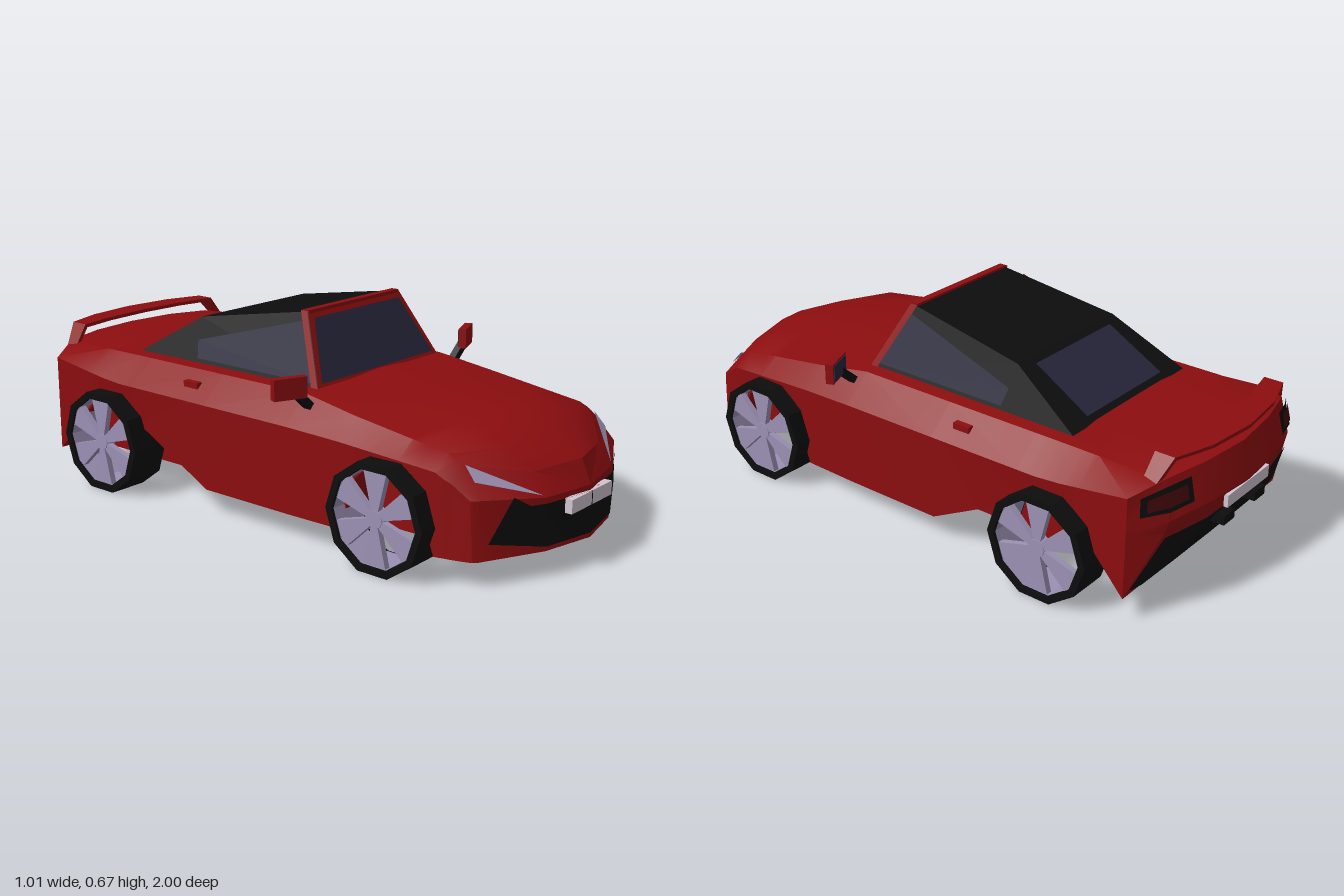
import * as THREE from 'three';
import { toCreasedNormals } from 'three/addons/utils/BufferGeometryUtils.js';

const mat = (name, color) => new THREE.MeshStandardMaterial({ name, color, side: THREE.DoubleSide });
const red = mat('red paint', 0x8c0d0f);
const black = mat('black trim', 0x0d0d0d);
const glass = mat('tinted glass', 0x26263b);
const silver = mat('silver alloy', 0x9b91b4);
const white = mat('number plate white', 0xd2c4d0);
const lampRed = mat('tail lamp red', 0x420809);

// Surface through rows of [x, y, z] points, mirrored to both sides if asked
function grid(rows, mirror = true, crease = 0.45) {
  const pos = [];
  const tri = (a, b, c) => {
    const [p, q, r] = [a, b, c].map(v => new THREE.Vector3(...v));
    if (q.clone().sub(p).cross(r.clone().sub(p)).length() < 1e-7) return;
    pos.push(...a, ...b, ...c);
    if (mirror) for (const v of [a, c, b]) pos.push(-v[0], v[1], v[2]);
  };
  for (let i = 0; i < rows.length - 1; i++) {
    for (let j = 0; j < rows[i].length - 1; j++) {
      const [a, b, c, d] = [rows[i][j], rows[i][j + 1], rows[i + 1][j + 1], rows[i + 1][j]];
      tri(a, b, c);
      tri(a, c, d);
    }
  }
  const g = new THREE.BufferGeometry();
  g.setAttribute('position', new THREE.Float32BufferAttribute(pos, 3));
  return toCreasedNormals(g, crease);
}
const quad = (a, b, c, d, mirror = true) => grid([[a, b], [d, c]], mirror);
const shift = (p, dx, dy, dz) => [p[0] + dx, p[1] + dy, p[2] + dz];
const mix = (a, b, t) => a.map((v, i) => v + (b[i] - v) * t);
const cell = (a, b, c, d, u, v) => mix(mix(a, b, u), mix(d, c, u), v);

const WHEELS = [{ name: 'front', z: 0.57, x: 0.415 }, { name: 'rear', z: -0.59, x: 0.4275 }];
const AXLE = 0.175, ARCH = 0.14, SILL = 0.09;

// Body section: z, centre y, bonnet y, shoulder x y, waist x y, sill x
const KEYS = [
  [0.74, 0.42, 0.408, 0.355, 0.378, 0.42, 0.34, 0.42],
  [0.4, 0.452, 0.443, 0.355, 0.425, 0.43, 0.362, 0.425],
  [0.2, 0.47, 0.462, 0.345, 0.455, 0.437, 0.37, 0.43],
  [-0.58, 0.463, 0.463, 0.345, 0.455, 0.44, 0.375, 0.432],
  [-0.86, 0.46, 0.46, 0.345, 0.452, 0.44, 0.415, 0.44],
];
function section(z) {
  let i = 0;
  while (i < KEYS.length - 2 && z < KEYS[i + 1][0]) i++;
  const k = mix(KEYS[i], KEYS[i + 1], (z - KEYS[i][0]) / (KEYS[i + 1][0] - KEYS[i][0]));
  let y = SILL;
  for (const w of WHEELS) {
    const d = Math.abs(z - w.z);
    if (d < ARCH) y = Math.max(y, AXLE + Math.sqrt(ARCH * ARCH - d * d));
  }
  return [[0, k[1], z], [0.18, k[2], z], [k[3], k[4], z], [k[5], k[6], z], [k[7], y, z],
    [0.31, y, z], [0.31, SILL, z], [0.18, SILL, z], [0, SILL, z]];
}

// Tail rows from the deck edge down to the sill
const TAIL = [
  [[0, 0.455, -0.97], [0.18, 0.455, -0.952], [0.33, 0.45, -0.915], [0.44, 0.415, -0.86]],
  [[0, 0.34, -0.998], [0.18, 0.34, -0.983], [0.345, 0.33, -0.94], [0.44, 0.33, -0.86]],
  [[0, 0.29, -0.975], [0.18, 0.29, -0.965], [0.35, 0.29, -0.93], [0.44, 0.29, -0.86]],
  [[0, SILL, -0.86], [0.18, SILL, -0.86], [0.36, SILL, -0.86], [0.44, SILL, -0.86]],
];
const noseZ = x => (x < 0.18 ? 0.992 - x * 0.21 : 0.954 - (x - 0.18) * 0.5);

function wheel(w, side) {
  const g = new THREE.Group();
  g.name = w.name + (side > 0 ? 'LeftWheel' : 'RightWheel');
  const add = (name, geo, m) => {
    const o = new THREE.Mesh(geo, m);
    o.name = name;
    g.add(o);
    return o;
  };
  const ring = [[0.152, -0.068], [0.175, -0.068], [0.175, 0.068], [0.152, 0.068], [0.152, -0.068]];
  add('tyre', toCreasedNormals(new THREE.LatheGeometry(ring.map(p => new THREE.Vector2(...p)), 10), 0.4), black);
  add('rimBarrel', toCreasedNormals(new THREE.CylinderGeometry(0.15, 0.15, 0.12, 10, 1, true), 0.4), silver);
  add('hub', new THREE.CylinderGeometry(0.028, 0.035, 0.03, 10), silver).position.y = 0.045;
  const blade = new THREE.Shape([[-0.01, 0.015], [0.01, 0.015], [0.042, 0.146], [-0.042, 0.146]]
    .map(p => new THREE.Vector2(...p)));
  const spoke = new THREE.ExtrudeGeometry(blade, { depth: 0.02, bevelEnabled: false }).rotateX(-Math.PI / 2);
  for (let i = 0; i < 6; i++) {
    const s = add('spoke', spoke, silver);
    s.position.y = 0.038;
    s.rotation.y = i * Math.PI / 3 + Math.PI / 2;
  }
  g.rotation.z = -side * Math.PI / 2;
  g.position.set(side * w.x, AXLE, w.z);
  return g;
}

export function createModel() {
  const car = new THREE.Group();
  car.name = 'sportsCar';
  const add = (name, geo, m, parent = car) => {
    const o = new THREE.Mesh(geo, m);
    o.name = name;
    parent.add(o);
    return o;
  };
  const box = (name, size, at, m, parent) => {
    const o = add(name, new THREE.BoxGeometry(...size), m, parent);
    o.position.set(...at);
    return o;
  };

  // Body shell with wheel wells
  const under = (...z) => [[0.31, SILL, z[0]], [0.31, SILL, z[0]], [0.18, SILL, z[1]], [0, SILL, z[2]]];
  const A = [[0, 0.25, 0.992], [0.18, 0.25, 0.954], [0.37, 0.27, 0.86], [0.39, 0.27, 0.84],
    [0.388, SILL, 0.85], ...under(0.893, 0.958, 0.998)];
  const B = [[0, 0.325, 0.96], [0.18, 0.318, 0.91], [0.355, 0.355, 0.785], [0.405, 0.31, 0.79],
    [0.405, SILL, 0.8], ...under(0.8, 0.8, 0.8)];
  const C = [[0, 0.385, 0.86], [0.18, 0.375, 0.83], [0.357, 0.366, 0.765], [0.415, 0.325, 0.765],
    [0.412, SILL, 0.77], ...under(0.77, 0.77, 0.77)];
  const well = Math.sqrt(ARCH ** 2 - (AXLE - SILL) ** 2);
  const zs = [0.74, 0.4, 0.2, -0.15, -0.86];
  for (const w of WHEELS) for (const f of [-1, -0.8, -0.4, 0.4, 0.8, 1]) zs.push(w.z + f * well);
  const rows = [A, B, C, ...zs.sort((a, b) => b - a).map(section)];
  add('bodyShell', grid([...rows, [...TAIL[0], ...rows.at(-1).slice(4)]]), red);
  add('noseFace', grid([[[0, SILL, 0.998], [0.18, SILL, 0.958], [0.378, SILL, 0.86], A[4]], A.slice(0, 4)]), red);
  add('tailFace', grid(TAIL), red);

  // Nose: grille, headlights and number plate
  const mouth = [[[0, 0.105], [0.18, 0.105], [0.35, 0.14]], [[0, 0.235], [0.18, 0.235], [0.23, 0.235]]];
  add('grille', grid(mouth.map(r => r.map(([x, y]) => [x, y, noseZ(x) + 0.008]))), black);
  const wing = [[0.23, 0.235], [0.28, 0.268], [0.35, 0.14], [0.35, 0.14]].map(([x, y]) => [x, y, noseZ(x) + 0.008]);
  add('grilleCorners', quad(...wing), black);
  const tip = mix(A[1], B[2], 0.05), lampTop = mix(A[1], B[2], 0.98);
  const lampLow = mix(tip, mix(A[2], B[2], 0.5), 0.97);
  add('headlights', quad(...[tip, lampLow, lampTop, lampTop].map(p => shift(p, 0.002, 0.004, 0.006))), silver);
  box('frontNumberPlate', [0.225, 0.043, 0.025], [0, 0.213, 0.987], white);

  // Tail: diffuser, lamps, exhausts and number plate
  const panel = [0.06, 0.93].map(v => [0, 1, 2].map(j => shift(mix(TAIL[2][j], TAIL[3][j], v), 0, -0.003, -0.006)));
  add('diffuser', grid(panel), black);
  const corner = [panel[0][2], shift(TAIL[3][3], -0.02, 0.02, -0.007), panel[1][2]];
  add('diffuserCorners', quad(...corner, corner[2]), black);
  const [T, M] = TAIL;
  const lamp = (u0, u1, v0, v1, off) => grid([v0, v1].map(v => [
    cell(T[1], T[2], M[2], M[1], u0, v), cell(T[1], T[2], M[2], M[1], 1, v), cell(T[2], T[3], M[3], M[2], u1, v),
  ].map(p => shift(p, off * 0.5, 0, -off))));
  add('tailLampSurrounds', lamp(0.45, 0.72, 0.14, 0.75, 0.009), black);
  add('tailLamps', lamp(0.58, 0.56, 0.26, 0.62, 0.013), lampRed);
  box('rearNumberPlate', [0.24, 0.04, 0.014], [0, 0.312, -0.99], white);

  // Rear wing with feet bent down to the deck
  const front = [[0, 0.51, -0.895], [0.18, 0.51, -0.885], [0.31, 0.51, -0.86], [0.36, 0.44, -0.855]];
  const back = [[0, 0.51, -0.985], [0.18, 0.51, -0.967], [0.31, 0.51, -0.925], [0.36, 0.44, -0.9]];
  const low = r => r.map(p => shift(p, -0.008, -0.012, 0)).map(p => [Math.max(0, p[0]), p[1], p[2]]);
  add('rearWing', grid([front, back, low(back), low(front), front]), red);

  // Cabin: sides lean in at a constant slope
  const side = (y, z, out = 0) => [0.30 - 0.362 * (y - 0.465) + out, y, z];
  const wb = side(0.462, 0.212), wt = side(0.675, 0.105), rt = side(0.602, -0.335), rb = side(0.46, -0.578);
  const flip = p => [-p[0], p[1], p[2]];
  const across = (a, b) => quad(flip(a), a, b, flip(b), false);
  add('windscreenFrame', across(wb, wt), red);
  add('windscreen', across([0.283, 0.474, 0.212], [0.213, 0.655, 0.121]), glass);
  add('softTop', across(wt, rt), black);
  add('softTopRear', across(rt, rb), black);
  add('rearWindow', across([0.195, 0.592, -0.362], [0.2, 0.478, -0.557]), glass);
  add('softTopSides', quad(wb, rb, rt, wt), black);
  add('sideWindows', quad(side(0.474, 0.19, 0.004), side(0.474, -0.31, 0.004),
    side(0.53, -0.325, 0.004), side(0.648, 0.1, 0.004)), glass);
  add('windscreenPillars', quad(side(0.462, 0.214, 0.006), side(0.462, 0.188, 0.006),
    side(0.677, 0.08, 0.006), side(0.677, 0.106, 0.006)), red);
  box('windscreenHeader', [0.45, 0.014, 0.025], [0, 0.672, 0.096], red);

  for (const s of [1, -1]) {
    // Door mirrors
    const mirror = new THREE.Group();
    mirror.name = s > 0 ? 'leftMirror' : 'rightMirror';
    box('mirrorHousing', [0.108, 0.066, 0.026], [0, 0, 0], red, mirror);
    box('mirrorGlass', [0.095, 0.054, 0.004], [0, 0, -0.014], glass, mirror);
    mirror.position.set(s * 0.452, 0.498, 0.229);
    mirror.rotation.y = s * 0.4;
    car.add(mirror);
    box('mirrorStem', [0.1, 0.024, 0.025], [s * 0.396, 0.45, 0.235], black).rotation.z = s * 0.72;

    box('doorHandle', [0.022, 0.02, 0.06], [s * 0.393, 0.417, -0.24], red);
    box('exhaust', [0.06, 0.03, 0.08], [s * 0.09, 0.245, -0.95], black);
    for (const w of WHEELS) car.add(wheel(w, s));
  }
  return car;
}
